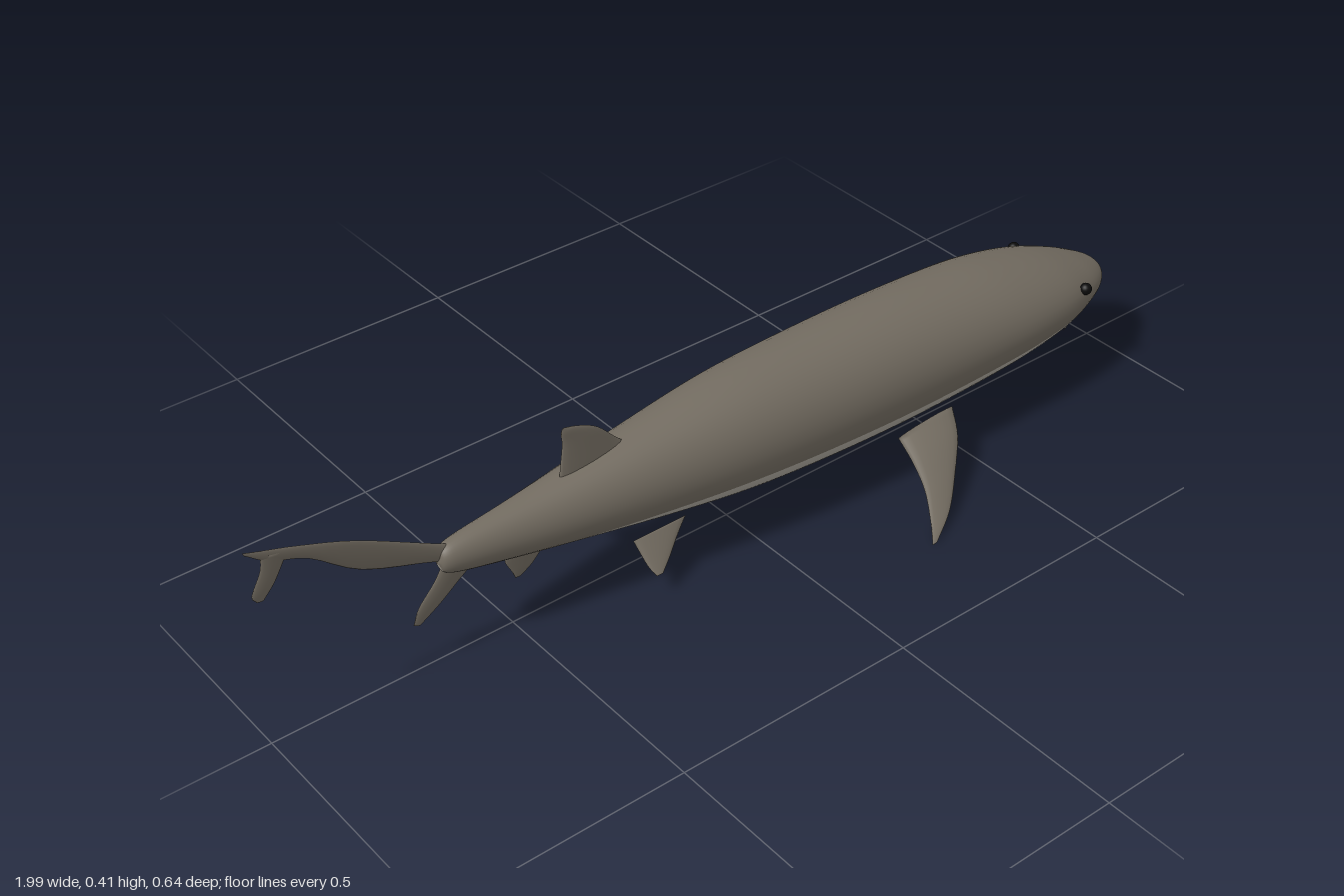
import * as THREE from 'three';

const mat = (name, color) => {
  const m = new THREE.MeshStandardMaterial({ color });
  m.name = name;
  return m;
};

// body stations: x, top, bottom, half width, height of the belly line
const STATIONS = [
  [-0.645, 0.222, 0.212, 0.006, 0.213], [-0.635, 0.242, 0.192, 0.02, 0.195],
  [-0.6, 0.252, 0.18, 0.03, 0.185], [-0.5, 0.262, 0.16, 0.045, 0.17],
  [-0.4, 0.273, 0.143, 0.061, 0.16], [-0.2, 0.3, 0.11, 0.092, 0.156],
  [0, 0.322, 0.083, 0.117, 0.154], [0.2, 0.327, 0.072, 0.13, 0.151],
  [0.4, 0.326, 0.07, 0.135, 0.15], [0.6, 0.314, 0.082, 0.137, 0.158],
  [0.72, 0.296, 0.098, 0.134, 0.166], [0.82, 0.272, 0.117, 0.12, 0.172],
  [0.9, 0.244, 0.138, 0.093, 0.177], [0.95, 0.222, 0.155, 0.066, 0.182],
  [0.98, 0.206, 0.171, 0.036, 0.186], [0.99, 0.191, 0.187, 0.004, 0.189],
];
const spline = (f) => new THREE.CatmullRomCurve3(STATIONS.map(f), false, 'catmullrom', 0.5);
const heights = spline((s) => new THREE.Vector3(s[0], s[1], s[2]));
const widths = spline((s) => new THREE.Vector3(s[0], s[3], s[4]));

function section(u) {
  const h = heights.getPoint(u), w = widths.getPoint(u);
  return { x: h.x, cy: (h.y + h.z) / 2, ry: (h.y - h.z) / 2, rz: w.y, line: w.z };
}
const ringPoint = (s, a, k = 1) => [s.x, s.cy + k * s.ry * Math.sin(a), k * s.rz * Math.cos(a)];

function sectionAt(x) {
  let lo = 0, hi = 1;
  for (let i = 0; i < 30; i++) {
    const mid = (lo + hi) / 2;
    if (heights.getPoint(mid).x < x) lo = mid; else hi = mid;
  }
  return section(lo);
}

function buildGeometry(pos, index) {
  const g = new THREE.BufferGeometry();
  g.setAttribute('position', new THREE.Float32BufferAttribute(pos, 3));
  g.setIndex(index);
  g.computeVertexNormals();
  return g;
}

// rings split at the belly line: the first half is the back, the rest the belly
function bodyGeometry() {
  const rings = 90, half = 24, n = half * 2, pos = [], back = [], belly = [];
  for (let i = 0; i <= rings; i++) {
    const s = section(i / rings);
    const a0 = Math.asin(THREE.MathUtils.clamp((s.line - s.cy) / s.ry, -0.92, 0.2));
    for (let j = 0; j < n; j++) {
      const a = j < half
        ? a0 + (Math.PI - 2 * a0) * j / half
        : Math.PI - a0 + (Math.PI + 2 * a0) * (j - half) / half;
      pos.push(...ringPoint(s, a));
    }
  }
  for (let i = 0; i < rings; i++) for (let j = 0; j < n; j++) {
    const a = i * n + j, b = i * n + (j + 1) % n;
    (j < half ? back : belly).push(a, a + n, b, b, a + n, b + n);
  }
  // end caps
  for (let j = 1; j < n - 1; j++) {
    const e = rings * n;
    back.push(0, j, j + 1, e, e + j + 1, e + j);
  }
  const g = buildGeometry(pos, [...back, ...belly]);
  g.addGroup(0, back.length, 0);
  g.addGroup(back.length, belly.length, 1);
  return g;
}

// fin lofted from root to tip; each station is [leading point, trailing point, thickness]
function finGeometry(stations, normal) {
  const steps = 20, n = 16, pos = [], index = [];
  const curve = (k) => new THREE.CatmullRomCurve3(
    stations.map((s) => new THREE.Vector3(...s[k])), false, 'catmullrom', 0.5);
  const lead = curve(0), trail = curve(1);
  const thick = new THREE.CatmullRomCurve3(stations.map((s) => new THREE.Vector3(s[2], 0, 0)), false, 'catmullrom', 0.5);
  const nrm = new THREE.Vector3(...normal).normalize();
  for (let i = 0; i <= steps; i++) {
    const l = lead.getPoint(i / steps), t = trail.getPoint(i / steps), w = thick.getPoint(i / steps).x / 2;
    for (let j = 0; j < n; j++) {
      const a = j / n * Math.PI * 2;
      const p = t.clone().lerp(l, 0.5 + 0.5 * Math.cos(a)).addScaledVector(nrm, w * Math.sin(a));
      pos.push(p.x, p.y, p.z);
    }
  }
  const chord = lead.getPoint(0).sub(trail.getPoint(0));
  const span = lead.getPoint(1).sub(lead.getPoint(0));
  const outward = chord.cross(nrm).dot(span) > 0;
  const tri = (a, b, c) => index.push(...(outward ? [a, b, c] : [a, c, b]));
  for (let i = 0; i < steps; i++) for (let j = 0; j < n; j++) {
    const a = i * n + j, b = i * n + (j + 1) % n;
    tri(a, b, a + n);
    tri(b, b + n, a + n);
  }
  for (let j = 1; j < n - 1; j++) {
    tri(0, j + 1, j);
    tri(steps * n, steps * n + j, steps * n + j + 1);
  }
  return buildGeometry(pos, index);
}

// thin crescent hugging the underside of the snout
function mouthGeometry() {
  const n = 32, pos = [], index = [];
  for (let i = 0; i <= n; i++) {
    const t = i / n * 2 - 1, a = -Math.PI / 2 + t * 1.0;
    const x = 0.905 - 0.1 * t * t, w = 0.022 * (1 - 0.6 * t * t);
    for (let k = 0; k <= 3; k++) pos.push(...ringPoint(sectionAt(x - w + w * k / 3), a, 1.03));
  }
  for (let i = 0; i < n; i++) for (let k = 0; k < 3; k++) {
    const a = i * 4 + k, b = a + 4;
    index.push(a, a + 1, b, b, a + 1, b + 1);
  }
  return buildGeometry(pos, index);
}

export function createModel() {
  const model = new THREE.Group();
  const back = mat('back grey', 0x736c61);
  const belly = mat('belly pale grey', 0xaca79d);
  const dark = mat('mouth dark grey', 0x45423d);
  const black = mat('eye black', 0x0c0c0c);
  dark.side = THREE.DoubleSide;
  const add = (name, geometry, material) => {
    const m = new THREE.Mesh(geometry, material);
    m.name = name;
    model.add(m);
    return m;
  };

  add('body', bodyGeometry(), [back, belly]);
  add('mouth', mouthGeometry(), dark);

  // fins on the centre line
  const flat = (list) => list.map(([lx, ly, tx, ty, w]) => [[lx, ly, 0], [tx, ty, 0], w]);
  const centreFins = {
    dorsalFin: [[-0.21, 0.27, -0.385, 0.25, 0.022], [-0.25, 0.3, -0.38, 0.29, 0.018],
      [-0.295, 0.346, -0.373, 0.34, 0.011], [-0.335, 0.367, -0.374, 0.363, 0.007], [-0.366, 0.376, -0.372, 0.373, 0.002]],
    analFin: [[-0.4, 0.16, -0.5, 0.17, 0.012], [-0.42, 0.145, -0.508, 0.148, 0.01],
      [-0.448, 0.117, -0.495, 0.118, 0.007], [-0.475, 0.1, -0.488, 0.1, 0.002]],
    upperTailLobe: [[-0.59, 0.235, -0.61, 0.195, 0.018], [-0.63, 0.25, -0.65, 0.22, 0.012],
      [-0.79, 0.338, -0.79, 0.275, 0.009], [-0.9, 0.383, -0.885, 0.348, 0.008],
      [-0.965, 0.405, -0.955, 0.378, 0.006], [-1, 0.417, -0.998, 0.411, 0.002]],
    tailTipLobe: [[-0.92, 0.385, -0.97, 0.395, 0.007], [-0.937, 0.355, -0.975, 0.365, 0.006],
      [-0.953, 0.33, -0.995, 0.325, 0.005], [-0.975, 0.306, -0.988, 0.308, 0.002]],
    lowerTailLobe: [[-0.565, 0.185, -0.635, 0.21, 0.016], [-0.6, 0.16, -0.655, 0.177, 0.01],
      [-0.645, 0.126, -0.69, 0.137, 0.007], [-0.69, 0.098, -0.704, 0.104, 0.002]],
  };
  for (const [name, list] of Object.entries(centreFins)) add(name, finGeometry(flat(list), [0, 0, 1]), back);

  // paired fins and eyes
  for (const [side, s] of [['right', 1], ['left', -1]]) {
    const pair = (list) => list.map(([l, t, w]) => [[l[0], l[1], l[2] * s], [t[0], t[1], t[2] * s], w]);
    add(side + 'PectoralFin', finGeometry(pair([
      [[0.48, 0.107, 0.118], [0.332, 0.1, 0.122], 0.026],
      [[0.445, 0.083, 0.172], [0.32, 0.08, 0.175], 0.021],
      [[0.39, 0.054, 0.225], [0.303, 0.052, 0.23], 0.014],
      [[0.325, 0.023, 0.28], [0.272, 0.022, 0.282], 0.008],
      [[0.255, 0.004, 0.32], [0.242, 0.004, 0.321], 0.003],
    ]), [0, 0.9, 0.44 * s]), back);
    add(side + 'PelvicFin', finGeometry(pair([
      [[-0.14, 0.102, 0.052], [-0.262, 0.102, 0.052], 0.013],
      [[-0.175, 0.082, 0.071], [-0.26, 0.082, 0.071], 0.01],
      [[-0.207, 0.062, 0.09], [-0.257, 0.062, 0.09], 0.007],
      [[-0.236, 0.047, 0.106], [-0.25, 0.047, 0.106], 0.002],
    ]), [0, 0.7, 0.7 * s]), back);
    const eye = add(side + 'Eye', new THREE.SphereGeometry(0.0125, 20, 14), black);
    eye.position.set(0.86, 0.222, 0.103 * s);
  }
  return model;
}
